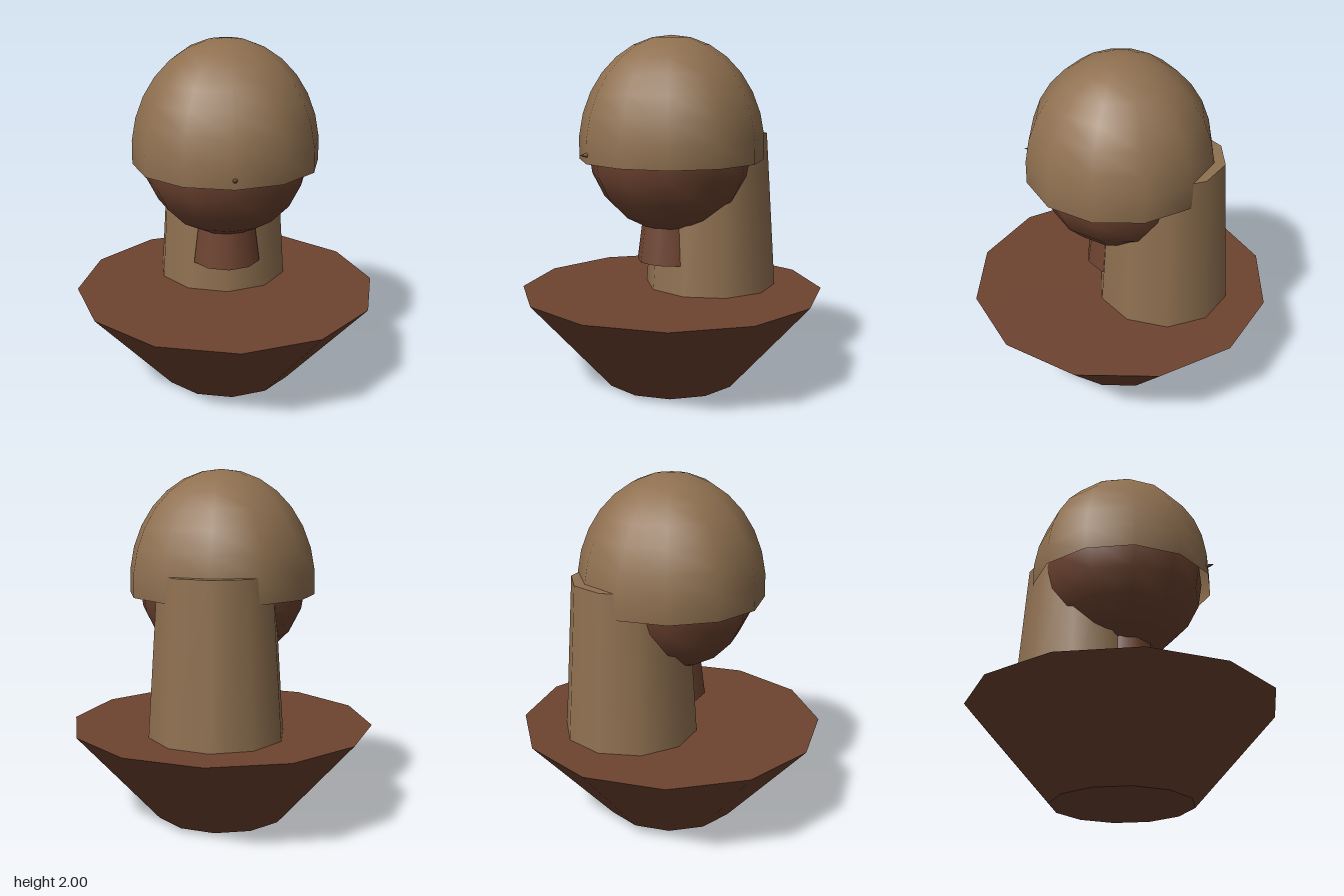
import * as THREE from 'three';

export function createModel() {
  const model = new THREE.Group();

  const brown = new THREE.MeshStandardMaterial({ color: 0x6d4330 });
  brown.name = 'warm brown';
  const tan = new THREE.MeshStandardMaterial({ color: 0x8f7050, side: THREE.DoubleSide });
  tan.name = 'tan';

  const add = (name, geometry, material, x, y, z) => {
    const mesh = new THREE.Mesh(geometry, material);
    mesh.name = name;
    mesh.position.set(x, y, z);
    model.add(mesh);
    return mesh;
  };

  // Flared twelve-sided base, standing on the ground
  add('base', new THREE.CylinderGeometry(0.876, 0.395, 0.54, 12), brown, 0, 0.27, 0);

  // Tapered column of hair behind the head
  add('backHair', new THREE.CylinderGeometry(0.325, 0.385, 0.9, 10), tan, 0, 0.99, -0.265);

  // Short neck, running up into the head
  add('neck', new THREE.CylinderGeometry(0.155, 0.2, 0.35, 10), brown, 0, 0.885, 0);

  // Head
  add('head', new THREE.SphereGeometry(0.48, 12, 10), brown, 0, 1.365, 0);

  // Open tall dome over the head, ending just below its widest ring
  const dome = new THREE.SphereGeometry(0.533, 12, 8, 0, Math.PI * 2, 0, Math.PI * 0.53);
  dome.scale(1, 1.2, 1);
  add('hairCap', dome, tan, 0, 1.36, 0);

  // Tiny pointed nose
  const nose = new THREE.ConeGeometry(0.018, 0.06, 8);
  nose.rotateX(Math.PI / 2);
  add('nose', nose, brown, 0, 1.35, 0.543);

  return model;
}
